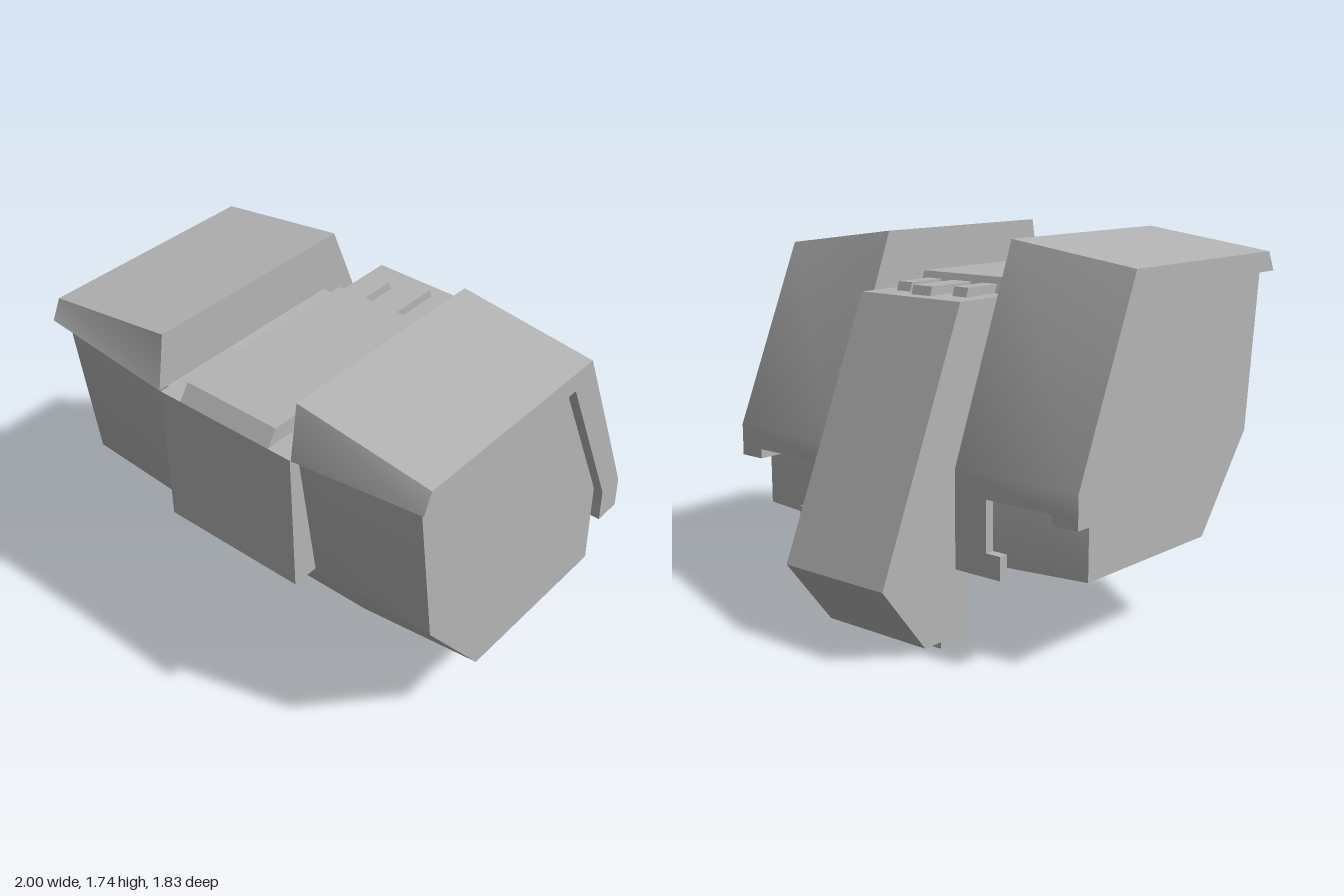
import * as THREE from 'three';
import { toCreasedNormals } from 'three/addons/utils/BufferGeometryUtils.js';

const grey = new THREE.MeshStandardMaterial({ color: 0xb4b4b4 });
grey.name = 'plain grey';

// Solid through cross-sections [x, [[z, y], ...]], listed counter-clockwise in (z, y)
function loft(sections, crease = 0.7) {
  const list = [...sections].sort((a, b) => a[0] - b[0]);
  const at = (s, i) => {
    const [x, pts] = list[s];
    const [z, y] = pts[i % pts.length];
    return [x, y, z];
  };
  const pos = [];
  const tri = (...corners) => corners.forEach((c) => pos.push(...c));
  const n = list[0][1].length;
  for (let s = 0; s < list.length - 1; s++) {
    for (let i = 0; i < n; i++) {
      tri(at(s, i), at(s + 1, i), at(s, i + 1));
      tri(at(s, i + 1), at(s + 1, i), at(s + 1, i + 1));
    }
  }
  const last = list.length - 1;
  const cap = (s) => THREE.ShapeUtils.triangulateShape(
    list[s][1].map(([z, y]) => new THREE.Vector2(z, y)), []);
  cap(0).forEach(([a, b, c]) => tri(at(0, a), at(0, b), at(0, c)));
  cap(last).forEach(([a, b, c]) => tri(at(last, a), at(last, c), at(last, b)));
  const g = new THREE.BufferGeometry();
  g.setAttribute('position', new THREE.Float32BufferAttribute(pos, 3));
  return toCreasedNormals(g, crease);
}

const prism = (x0, x1, pts) => loft([[x0, pts], [x1, pts]], 0.2);

function box(x0, x1, y0, y1, z0, z1) {
  const g = new THREE.BoxGeometry(Math.abs(x1 - x0), y1 - y0, z1 - z0);
  return g.translate((x0 + x1) / 2, (y0 + y1) / 2, (z0 + z1) / 2);
}

export function createModel() {
  const model = new THREE.Group();
  model.name = 'pack';
  const add = (name, geometry, parent = model) => {
    const mesh = new THREE.Mesh(geometry, grey);
    mesh.name = name;
    parent.add(mesh);
  };

  // Main body, slightly raised at the outer ends
  const outer = [[-0.41, 0.405], [-0.41, 0.82], [-0.07, 1.56], [0.87, 1.56], [0.79, 0.84], [0.45, 0.405]].reverse();
  const inner = [[-0.41, 0.37], [-0.41, 0.82], [-0.1, 1.49], [0.87, 1.49], [0.79, 0.84], [0.48, 0.37]].reverse();
  add('body', loft([[-0.955, outer], [-0.36, inner], [0.36, inner], [0.955, outer]]));

  // Front block and raised top panel
  add('frontBlock', box(-0.355, 0.355, 0.84, 1.49, 0.5, 0.915));
  add('topPanel', prism(-0.24, 0.24, [[-0.105, 1.49], [0.915, 1.49], [0.865, 1.56], [-0.075, 1.56]]));

  // Central spine hanging down the back
  add('spine', prism(-0.29, 0.29, [
    [-0.385, 0], [-0.385, 0.5], [-0.1, 1.3], [-0.1, 1.49], [-0.43, 1.49],
    [-0.915, 0.345], [-0.66, 0.03], [-0.56, 0.03], [-0.56, 0],
  ]));

  // Three bars on top of the spine
  for (const [x, half, back] of [[-0.165, 0.04, -0.295], [0, 0.055, -0.36], [0.165, 0.04, -0.295]]) {
    add('topBar', prism(x - half, x + half,
      [[back, 1.49], [-0.085, 1.49], [-0.085, 1.53], [back + 0.015, 1.53]]));
  }

  // Side covers: a cap over the body, folded down the back
  const coverProfile = (low, high, bend) => [
    [0.915, low], [0.87, high], [-0.18, high], [-0.545, 0.81],
    [-0.545, 0.705], [-0.41, 0.705], [-0.41, 0.82], [bend, low],
  ];
  for (const s of [-1, 1]) {
    const cover = new THREE.Group();
    cover.name = s > 0 ? 'leftCover' : 'rightCover';
    model.add(cover);
    add('coverShell', loft([
      [s * 0.36, coverProfile(1.49, 1.74, -0.1)],
      [s, coverProfile(1.565, 1.655, -0.07)],
    ]), cover);
    // Lower edge with its cut-out: outer tab, inner strip and foot
    add('outerTab', box(s * 0.87, s, 0.66, 0.705, -0.545, -0.41), cover);
    add('innerStrip', box(s * 0.36, s * 0.53, 0.37, 0.705, -0.545, -0.5), cover);
    add('stripFoot', box(s * 0.53, s * 0.605, 0.37, 0.475, -0.545, -0.5), cover);
  }
  return model;
}
